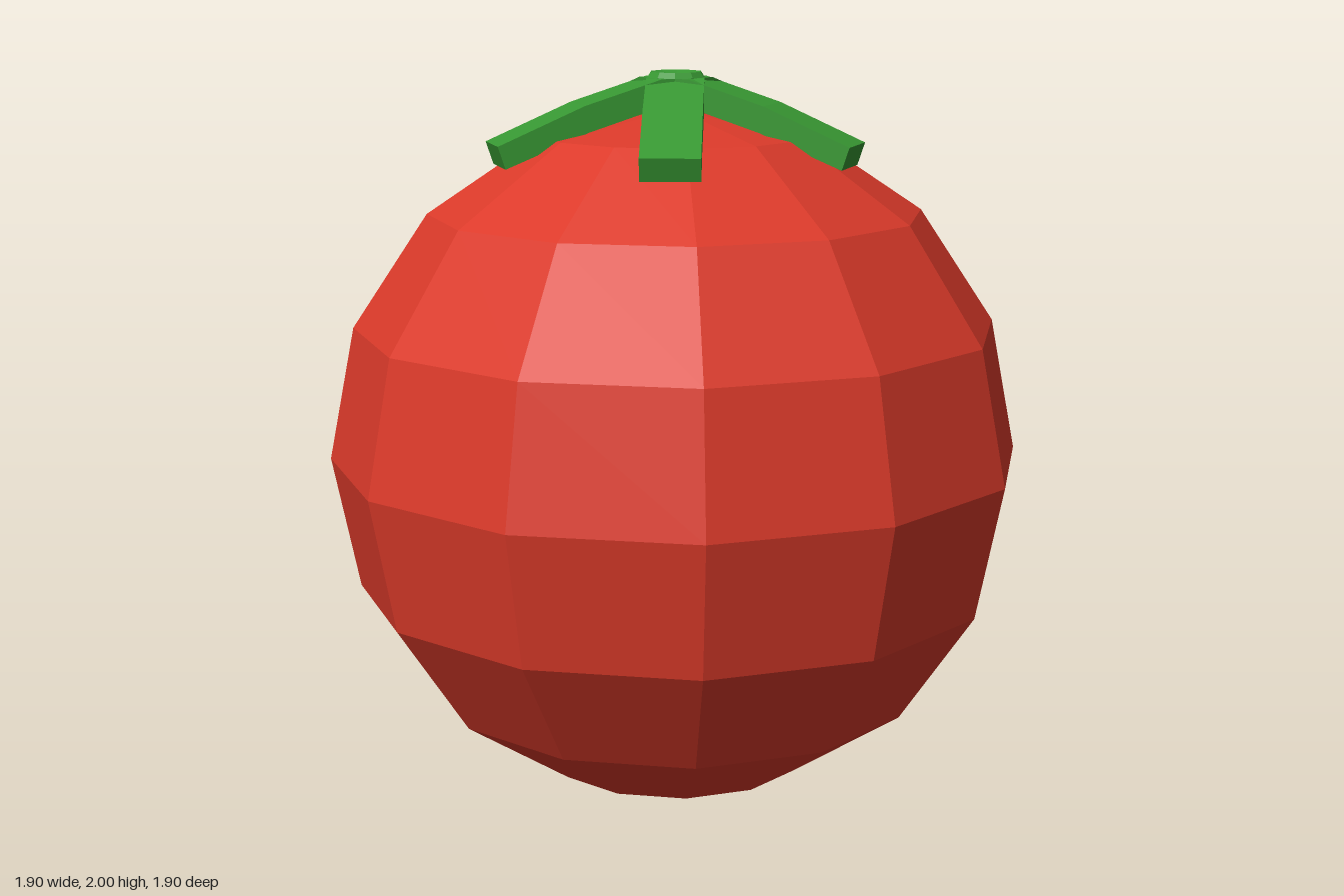
import * as THREE from 'three';

export function createModel() {
  const group = new THREE.Group();
  const red = new THREE.MeshStandardMaterial({ color: 0xdb3a2a, flatShading: true });
  const green = new THREE.MeshStandardMaterial({ color: 0x389833, flatShading: true });

  const add = (name, geometry, material) => {
    const mesh = new THREE.Mesh(geometry, material);
    mesh.name = name;
    group.add(mesh);
    return mesh;
  };

  // Faceted round fruit
  add('fruit', new THREE.SphereGeometry(0.95, 12, 8), red).position.y = 0.952;

  // Five bent leaf strips fanned around the top, one pointing straight back
  const width = 0.155;
  const profile = new THREE.Shape([
    [0, 1.92], [0.1, 1.9], [0.26, 1.85], [0.485, 1.76],
    [0.505, 1.82], [0.27, 1.92], [0.06, 1.985], [0, 1.985],
  ].map(([x, y]) => new THREE.Vector2(x, y)));
  const leafGeometry = new THREE.ExtrudeGeometry(profile, { depth: width, bevelEnabled: false });
  leafGeometry.translate(0, 0, -width / 2);
  for (let i = 0; i < 5; i++) {
    add(`leaf${i + 1}`, leafGeometry, green).rotation.y = Math.PI / 2 + (i * Math.PI * 2) / 5;
  }

  // Small dimpled stem stub where the leaves meet
  const stub = [[0, 1.9], [0.06, 1.92], [0.08, 1.985], [0.07, 2], [0.035, 1.99], [0, 1.986]];
  add('stem', new THREE.LatheGeometry(stub.map(([r, y]) => new THREE.Vector2(r, y)), 10), green);

  return group;
}
